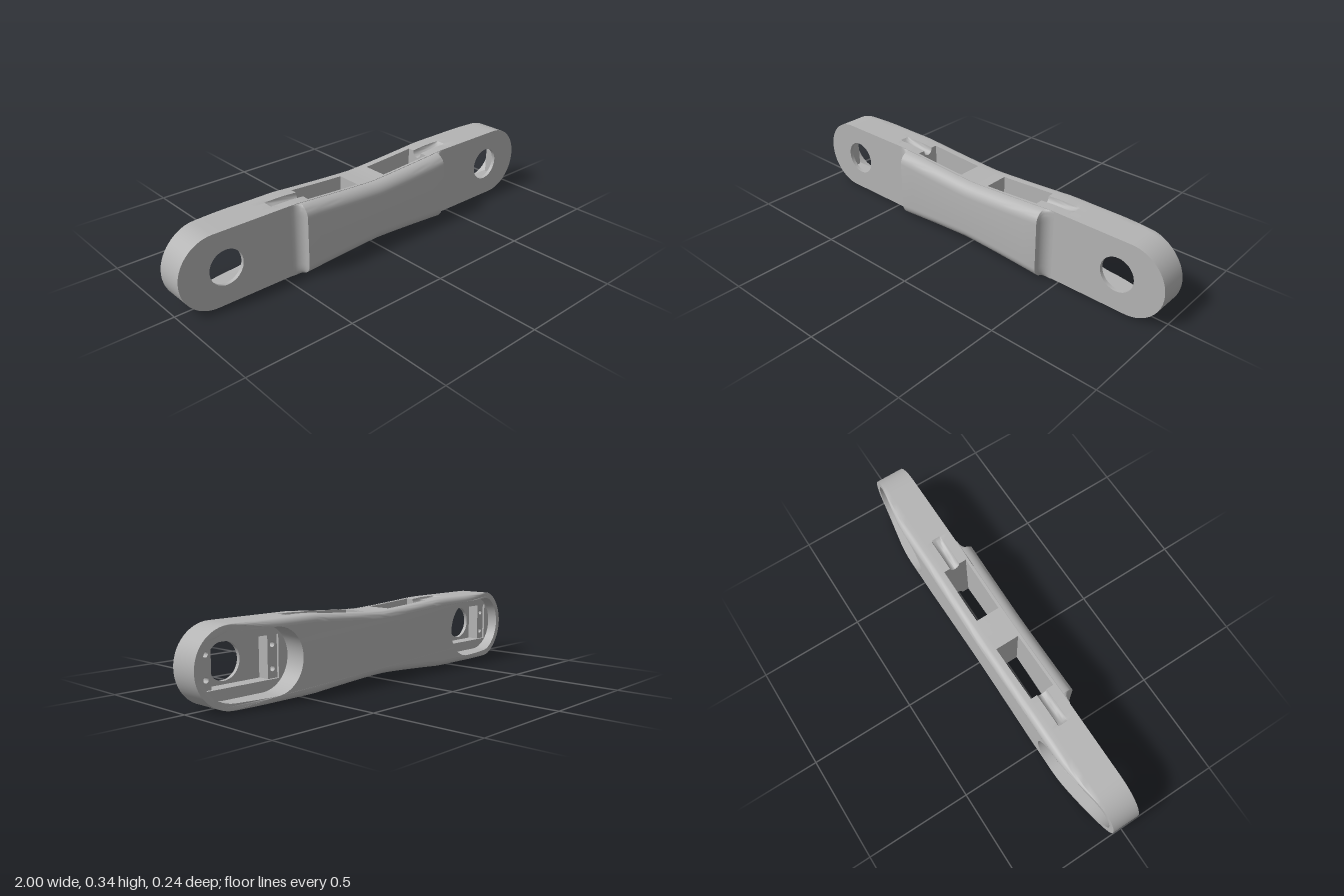
import * as THREE from 'three';
import { toCreasedNormals } from 'three/addons/utils/BufferGeometryUtils.js';

const C = 0.168, R = 0.168, ARC_X = 0.832;            // mid height, end radius, end centre
const FRONT = 0.062, WIN_F = 0.05, WIN_B = -0.065;    // front face and window limits in z
const SHELF = -0.02, FLOOR = 0.045;                   // pocket depths
const step = THREE.MathUtils.smoothstep;

// half height of the waisted body, back surface, and back edge rounding along x
const halfH = x => R - 0.025 * (1 - Math.min(Math.abs(x) / 0.43, 1) ** 1.25);
const backZ = x => -0.118 + 0.048 * step(Math.abs(x), 0.62, 1);
const backR = x => 0.03 * (1 - step(Math.abs(x), 0.6, 0.9));

// scooped cable groove running outward from each window
const dip = (x, z) => {
  const t = (Math.abs(x) - 0.355) / 0.165, u = (z + 0.01) / 0.025;
  if (t < -1e-6 || t > 1 || Math.abs(u) > 1) return 0;
  return 0.03 * Math.sqrt(1 - u * u) * Math.sqrt(1 - Math.max(t, 0) ** 2);
};

// outline of the link, anticlockwise: bottom edge, right end, top edge, left end
const half = [0.04, 0.08, 0.15, 0.22, 0.29, 0.355, 0.38, 0.42, 0.46, 0.49, 0.51, 0.52,
  0.58, 0.62, 0.66, 0.7, 0.74, 0.78];
const xs = [...half.map(x => -x).reverse(), 0, ...half];
const outline = [];
for (const s of [-1, 1]) {
  for (const x of xs) outline.push({ x: -s * x, s });
  for (let i = 0; i <= 28; i++) outline.push({ side: -s, a: (s < 0 ? -0.5 : 0.5) * Math.PI + Math.PI * i / 28 });
}
const at = (p, o) => p.s
  ? [p.x, C + p.s * (halfH(p.x) - o)]
  : [p.side * ARC_X + Math.cos(p.a) * (R - o), C + Math.sin(p.a) * (R - o)];

// surface through rows of points
function grid(rows, { closed = false, flip = false, skip = () => false } = {}) {
  const n = rows[0].length, index = [];
  for (let r = 0; r < rows.length - 1; r++) {
    for (let c = 0; c < (closed ? n : n - 1); c++) {
      if (skip(r, c)) continue;
      const d = (c + 1) % n, a = r * n + c, b = a + n, e = (r + 1) * n + d, f = r * n + d;
      index.push(...(flip ? [a, e, b, a, f, e] : [a, b, e, a, e, f]));
    }
  }
  const g = new THREE.BufferGeometry();
  g.setAttribute('position', new THREE.Float32BufferAttribute(rows.flat(2), 3));
  g.setIndex(index);
  return toCreasedNormals(g, 0.6);
}

// flat or bent face with holes, looking forward or back
function face(points, holes, zOf, back) {
  const toV = list => list.map(([x, y]) => new THREE.Vector2(x, y));
  const shape = new THREE.Shape(toV(points));
  shape.holes = holes.map(h => new THREE.Path(toV(h)));
  const g = new THREE.ShapeGeometry(shape), pos = g.attributes.position;
  for (let i = 0; i < pos.count; i++) pos.setZ(i, zOf(pos.getX(i)));
  if (back) g.setIndex([...g.index.array].reverse());
  g.computeVertexNormals();
  return g;
}

const circle = (x, y, r, n = 40) => Array.from({ length: n }, (_, i) =>
  [x + r * Math.cos(i / n * 2 * Math.PI), y + r * Math.sin(i / n * 2 * Math.PI)]);

// long rounded pocket opening
function stadium(x0, x1, r) {
  const pts = [];
  for (let i = 0; i <= 24; i++) pts.push([x1 + r * Math.cos(-Math.PI / 2 + Math.PI * i / 24), C + r * Math.sin(-Math.PI / 2 + Math.PI * i / 24)]);
  for (const t of [0.25, 0.5, 0.75]) pts.push([x1 + (x0 - x1) * t, C + r]);
  for (let i = 0; i <= 24; i++) pts.push([x0 + r * Math.cos(Math.PI / 2 + Math.PI * i / 24), C + r * Math.sin(Math.PI / 2 + Math.PI * i / 24)]);
  for (const t of [0.25, 0.5, 0.75]) pts.push([x0 + (x1 - x0) * t, C - r]);
  return pts;
}

const mirror = pts => pts.map(([x, y]) => [-x, y]);
const wall = (pts, zA, zB) => grid([pts.map(([x, y]) => [x, y, zA(x)]), pts.map(([x, y]) => [x, y, zB(x)])],
  { closed: true, flip: true });

export function createModel() {
  const model = new THREE.Group();
  model.name = 'armLink';
  const grey = new THREE.MeshStandardMaterial({ color: 0xb4b4b4, side: THREE.DoubleSide });
  grey.name = 'plain grey';
  const add = (parent, name, geometry) => {
    const mesh = new THREE.Mesh(geometry, grey);
    mesh.name = name;
    parent.add(mesh);
    return mesh;
  };

  const pocket = stadium(0.64, ARC_X, 0.139);
  const bore = circle(0.78, C + 0.002, 0.08);

  // outer side wall with window openings, grooves and rounded back edge
  const grooveZ = Array.from({ length: 13 }, (_, i) => -0.01 + 0.025 * Math.cos(Math.PI * i / 12));
  const wallZ = [FRONT, WIN_F, ...grooveZ, WIN_B];
  const rows = wallZ.map(z => outline.map(p => [...at(p, p.s ? dip(p.x, z) : 0), z]));
  for (let k = 0; k <= 6; k++) {
    const a = k / 6 * Math.PI / 2;
    rows.push(outline.map(p => {
      const x = at(p, 0)[0], r = backR(x);
      return [...at(p, r * (1 - Math.cos(a))), backZ(x) + r * (1 - Math.sin(a))];
    }));
  }
  const inWindow = (r, c) => {
    const p = outline[c], q = outline[(c + 1) % outline.length];
    const m = p.s && q.s ? Math.abs(p.x + q.x) / 2 : 0;
    return r >= 1 && r < wallZ.length - 1 && m > 0.08 && m < 0.355;
  };
  add(model, 'sideWall', grid(rows, { closed: true, skip: inWindow }));

  // front and back faces
  add(model, 'frontFace', face(outline.map(p => at(p, 0)), [bore, mirror(bore)], () => FRONT, false));
  add(model, 'backFace', face(outline.map(p => at(p, backR(at(p, 0)[0]))), [pocket, mirror(pocket)], backZ, true));

  // raised front pad with rounded long edges and concave ends
  const padHalf = [0.06, 0.13, 0.2, 0.27, 0.34, 0.41, 0.413, 0.418, 0.425, 0.435, 0.447, 0.46];
  const padX = [...padHalf.map(x => -x).reverse(), 0, ...padHalf];
  add(model, 'frontPad', grid(padX.map(x => {
    const e = Math.max(Math.abs(x), 0.41);
    const rise = 0.053 * (1 - Math.sqrt(Math.max(0, 1 - ((0.46 - e) / 0.05) ** 2)));
    const lower = Array.from({ length: 9 }, (_, i) => {
      const a = i / 8 * Math.PI / 2;
      return [halfH(x) - 0.055 * (1 - Math.cos(a)), FRONT + 0.003 + rise * Math.sin(a)];
    });
    return [...lower.map(([h, z]) => [x, C - h, z]), ...lower.reverse().map(([h, z]) => [x, C + h, z])];
  }), { flip: true }));

  // both halves: window tunnel, back pocket, servo recess and mounts
  for (const s of [1, -1]) {
    const side = new THREE.Group();
    side.name = s > 0 ? 'leftEnd' : 'rightEnd';
    side.scale.x = s;
    model.add(side);

    const winX = half.filter(x => x >= 0.08 && x <= 0.355);
    const loop = [...winX.map(x => [x, WIN_F]), ...grooveZ.map(z => [0.355, z]),
      ...winX.slice().reverse().map(x => [x, WIN_B])];
    add(side, 'windowTunnel', grid([1, -1].map(t => loop.map(([x, z]) =>
      [x, C + t * (halfH(x) - (x === 0.355 ? dip(x, z) : 0)), z])), { closed: true }));

    const recess = [[0.55, C - 0.092], [0.93, C - 0.092], [0.93, C + 0.092], [0.55, C + 0.092]];
    add(side, 'pocketWall', wall(pocket, () => SHELF, backZ));
    add(side, 'pocketShelf', face(pocket, [recess], () => SHELF, true));
    add(side, 'recessWall', wall(recess, () => FLOOR, () => SHELF));
    add(side, 'recessFloor', face(recess, [bore], () => FLOOR, true));
    add(side, 'boreWall', wall(bore, () => FRONT, () => FLOOR));

    // mounting blocks with a pair of screw holes
    for (const x of [0.575, 0.905]) {
      const block = new THREE.Shape([[-0.025, -0.091], [0.025, -0.091], [0.025, 0.091], [-0.025, 0.091]]
        .map(([a, b]) => new THREE.Vector2(a, b)));
      for (const y of [-0.05, 0.05]) block.holes.push(new THREE.Path().absarc(0, y, 0.012, 0, Math.PI * 2, true));
      const g = new THREE.ExtrudeGeometry(block, { depth: FLOOR + 0.01, bevelEnabled: false, curveSegments: 16 });
      add(side, 'mountBlock', g).position.set(x, C, -0.01);
    }
  }
  return model;
}
